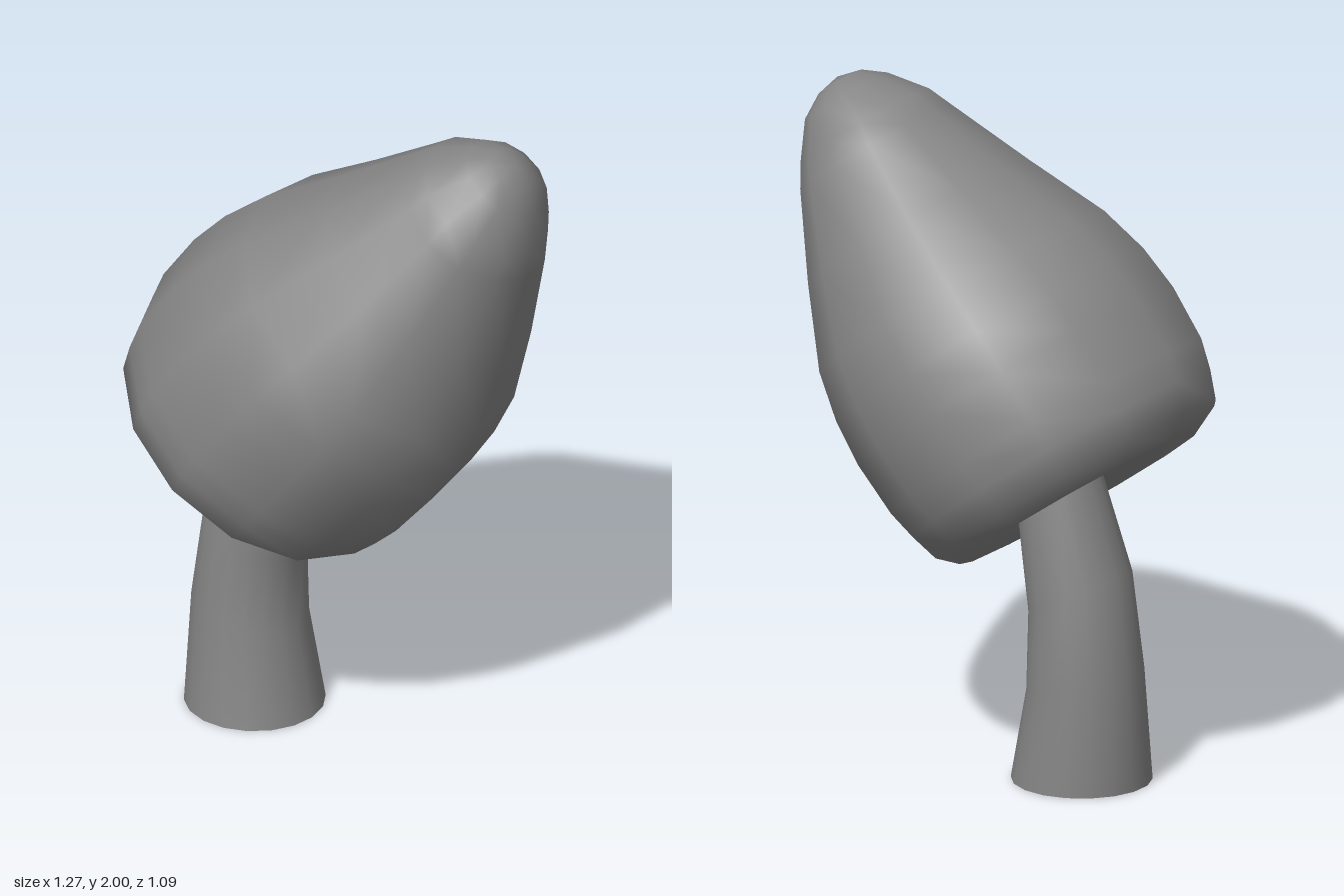
import * as THREE from 'three';
import { mergeVertices } from 'three/addons/utils/BufferGeometryUtils.js';

const material = new THREE.MeshStandardMaterial({ color: 0x858585, side: THREE.DoubleSide });

// Welds seams and poles so the whole surface shades smoothly
function smoothMesh(geometry, name) {
  geometry.deleteAttribute('uv');
  geometry.deleteAttribute('normal');
  const welded = mergeVertices(geometry, 1e-4);
  welded.computeVertexNormals();
  const mesh = new THREE.Mesh(welded, material);
  mesh.name = name;
  return mesh;
}

// Curved stem: an open tube whose rings are placed, tilted and sized one by one
function createStem() {
  const sides = 18;
  const rings = [ // x, y, z, radius, tilt; top to bottom
    [-0.20, 0.955, -0.03, 0.13, -0.63],
    [-0.295, 0.57, -0.03, 0.162, -0.45],
    [-0.312, 0.31, -0.03, 0.174, -0.234],
    [-0.29, 0, -0.015, 0.205, 0],
  ];
  const geometry = new THREE.CylinderGeometry(1, 1, 1, sides, rings.length - 1, true);
  const pos = geometry.attributes.position;
  for (let i = 0; i < pos.count; i++) {
    const [x, y, z, r, tilt] = rings[Math.floor(i / (sides + 1))];
    const across = pos.getX(i) * r;
    pos.setXYZ(i, x + across * Math.cos(tilt), y + across * Math.sin(tilt), z + pos.getZ(i) * r);
  }
  return smoothMesh(geometry, 'stem');
}

// Conical cap: a turned 13-sided form, its rings shifted sideways, tilted as a whole
function createCap() {
  const rings = [ // radius, height, sideways shift; underside to tip
    [0, -0.005, 0.03], [0.2, -0.015, 0.03], [0.385, -0.042, 0.03],
    [0.458, 0.005, 0.002], [0.486, 0.09, 0], [0.507, 0.18, 0],
    [0.515, 0.35, 0.007], [0.502, 0.49, 0.015], [0.466, 0.64, 0.026],
    [0.36, 0.88, 0.04], [0.246, 1.13, 0.042], [0.21, 1.2, 0.037],
    [0.135, 1.3, 0.045], [0.07, 1.345, 0.04], [0, 1.362, 0.04],
  ];
  const profile = rings.map(([r, y]) => new THREE.Vector2(r, y));
  const geometry = new THREE.LatheGeometry(profile, 13, -Math.PI / 2);
  const pos = geometry.attributes.position;
  for (let i = 0; i < pos.count; i++) {
    pos.setX(i, pos.getX(i) + rings[i % rings.length][2]);
  }
  geometry.scale(1, 1, 1.065);
  const mesh = smoothMesh(geometry, 'cap');
  mesh.position.set(-0.27, 0.89, 0);
  mesh.rotation.z = -0.625;
  return mesh;
}

export function createModel() {
  const model = new THREE.Group();
  model.name = 'mushroom';
  model.add(createStem(), createCap());
  return model;
}
